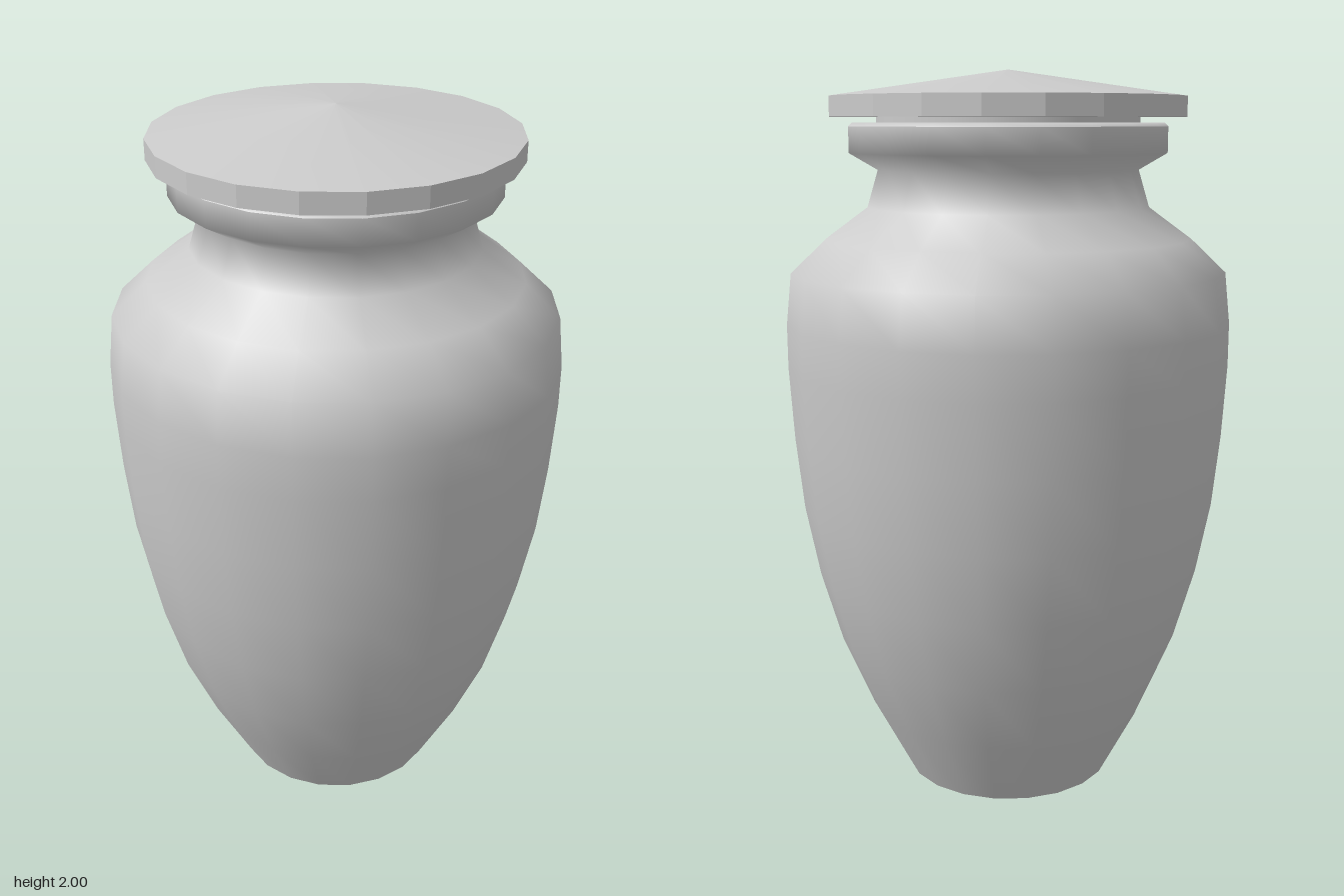
import * as THREE from 'three';

const SIDES = 20;

export function createModel() {
  const urn = new THREE.Group();
  urn.name = 'urn';
  const smooth = new THREE.MeshStandardMaterial({ color: 0xcccccc });
  const faceted = new THREE.MeshStandardMaterial({ color: 0xcccccc, flatShading: true });

  const add = (name, geometry, y = 0, material = smooth) => {
    const mesh = new THREE.Mesh(geometry, material);
    mesh.name = name;
    mesh.position.y = y;
    urn.add(mesh);
  };
  const lathe = (points) =>
    new THREE.LatheGeometry(points.map(([r, y]) => new THREE.Vector2(r, y)), SIDES);

  // Body: tapered belly, shoulder, pinched neck and flared lip
  add('body', lathe([
    [0.295, 0], [0.4, 0.2], [0.485, 0.4], [0.543, 0.6], [0.582, 0.8],
    [0.603, 1], [0.615, 1.2], [0.615, 1.32], [0.6, 1.46], [0.505, 1.55],
    [0.388, 1.635], [0.358, 1.735], [0.435, 1.78], [0.435, 1.85],
  ]));

  // Flat foot and the top of the lip
  add('foot', new THREE.CircleGeometry(0.295, SIDES).rotateX(Math.PI / 2));
  add('lipTop', lathe([[0.435, 1.85], [0.425, 1.86], [0.33, 1.86]]));

  // Lid: plug in the mouth, faceted rim, flat underside and shallow cone
  add('lidPlug', new THREE.CylinderGeometry(0.36, 0.36, 0.035, SIDES), 1.86);
  add('lidRim', new THREE.CylinderGeometry(0.485, 0.485, 0.055, SIDES, 1, true), 1.9025, faceted);
  add('lidUnderside', new THREE.CircleGeometry(0.485, SIDES).rotateX(Math.PI / 2), 1.875);
  add('lidTop', new THREE.ConeGeometry(0.485, 0.07, SIDES, 1, true), 1.965);

  return urn;
}
